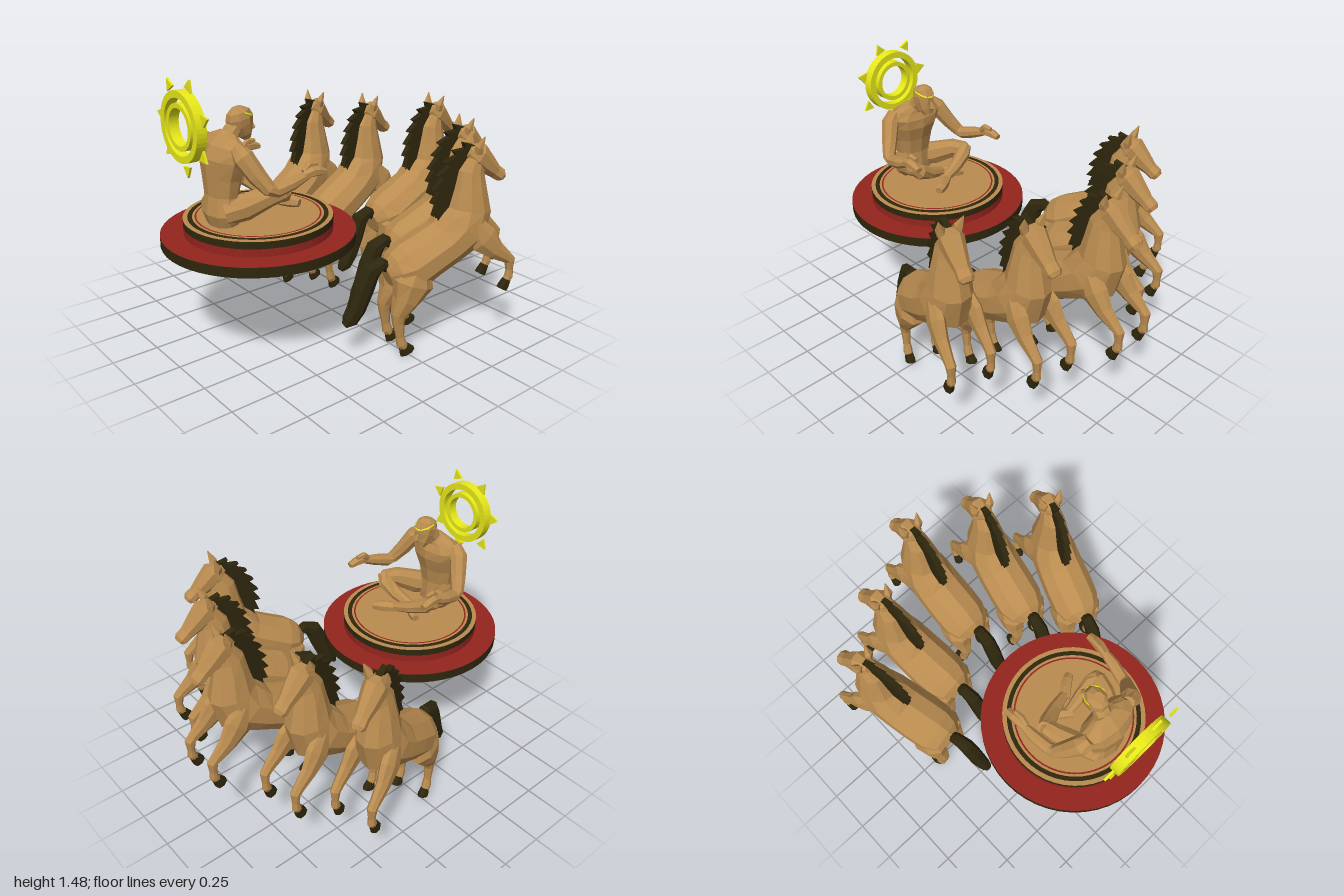
import * as THREE from 'three';

const mat = color => new THREE.MeshStandardMaterial({ color, flatShading: true });
const TAN = mat(0xba8c50), DARK = mat(0x2e260d), RED = mat(0x95241e), GOLD = mat(0xe8e81a);

function add(parent, name, geometry, material) {
  const mesh = new THREE.Mesh(geometry, material);
  mesh.name = name;
  parent.add(mesh);
  return mesh;
}

// Faceted loft through stations [x, y, z, depth radius, width radius]
function loft(stations, sides = 8) {
  const pts = stations.map(s => new THREE.Vector3(s[0], s[1], s[2]));
  const last = pts.length - 1;
  const overall = pts[last].clone().sub(pts[0]).normalize();
  const ref = Math.abs(overall.z) > 0.9 ? new THREE.Vector3(0, 1, 0) : new THREE.Vector3(0, 0, 1);
  const pos = [], idx = [];
  stations.forEach(([, , , d, w], i) => {
    const t = pts[Math.min(i + 1, last)].clone().sub(pts[Math.max(i - 1, 0)]).normalize();
    const side = ref.clone().addScaledVector(t, -ref.dot(t)).normalize();
    const n = t.clone().cross(side);
    for (let j = 0; j < sides; j++) {
      const a = (j + 0.5) / sides * Math.PI * 2;
      const p = pts[i].clone().addScaledVector(side, w * Math.cos(a)).addScaledVector(n, d * Math.sin(a));
      pos.push(p.x, p.y, p.z);
    }
  });
  const c0 = pos.length / 3, c1 = c0 + 1;
  pos.push(...pts[0].toArray(), ...pts[last].toArray());
  for (let j = 0; j < sides; j++) {
    const k = (j + 1) % sides;
    for (let i = 0; i < last; i++) {
      const a = i * sides, b = a + sides;
      idx.push(a + j, a + k, b + k, a + j, b + k, b + j);
    }
    idx.push(c0, k, j, c1, last * sides + j, last * sides + k);
  }
  const g = new THREE.BufferGeometry();
  g.setAttribute('position', new THREE.Float32BufferAttribute(pos, 3));
  g.setIndex(idx);
  g.computeVertexNormals();
  return g;
}

// Saw-toothed crest along the back of the neck
function maneGeometry() {
  const outer = new THREE.CatmullRomCurve3([[0.56, 0.69], [0.53, 0.76], [0.53, 0.84], [0.555, 0.93],
    [0.6, 1.01], [0.66, 1.065], [0.73, 1.085]].map(p => new THREE.Vector3(p[0], p[1], 0)));
  const shape = new THREE.Shape();
  const teeth = 8;
  for (let i = 0; i <= teeth; i++) {
    const p = outer.getPoint(i / teeth), t = outer.getTangent(i / teeth);
    if (i === 0) shape.moveTo(p.x, p.y);
    else shape.lineTo(p.x, p.y);
    if (i < teeth) shape.lineTo(p.x - t.y * 0.034, p.y + t.x * 0.034);
  }
  [[0.75, 1.05], [0.70, 0.95], [0.68, 0.8], [0.63, 0.69]].forEach(p => shape.lineTo(...p));
  return new THREE.ExtrudeGeometry(shape, { depth: 0.034, bevelEnabled: false }).translate(0, 0, -0.017);
}

// Rearing horse facing +x, tail tip at x = 0
function makeHorse() {
  const horse = new THREE.Group();
  add(horse, 'horseBody', loft([
    [0.25, 0.44, 0, 0.06, 0.06], [0.295, 0.455, 0, 0.108, 0.118], [0.37, 0.47, 0, 0.14, 0.145],
    [0.47, 0.525, 0, 0.13, 0.147], [0.58, 0.58, 0, 0.13, 0.142], [0.675, 0.645, 0, 0.155, 0.135],
    [0.715, 0.75, 0, 0.13, 0.11], [0.712, 0.86, 0, 0.1, 0.088], [0.715, 0.95, 0, 0.082, 0.068],
    [0.745, 1.03, 0, 0.05, 0.048]], 10), TAN);
  add(horse, 'horseHead', loft([
    [0.695, 1.06, 0, 0.03, 0.035], [0.75, 1.03, 0, 0.074, 0.064], [0.81, 0.975, 0, 0.058, 0.052],
    [0.865, 0.93, 0, 0.04, 0.04], [0.9, 0.905, 0, 0.038, 0.043], [0.914, 0.892, 0, 0.025, 0.03]]), TAN);
  add(horse, 'mane', maneGeometry(), DARK);
  add(horse, 'tail', loft([
    [0.27, 0.48, 0, 0.03, 0.03], [0.22, 0.51, 0, 0.038, 0.035], [0.16, 0.48, 0, 0.055, 0.04],
    [0.12, 0.39, 0, 0.06, 0.042], [0.08, 0.28, 0, 0.052, 0.042], [0.045, 0.225, 0, 0.045, 0.036],
    [0.015, 0.2, 0, 0.016, 0.022]]), DARK);
  for (const s of [1, -1]) {
    add(horse, 'ear', loft([[0.735, 1.05, s * 0.04, 0.022, 0.024], [0.735, 1.085, s * 0.048, 0.024, 0.025],
      [0.755, 1.14, s * 0.063, 0.003, 0.003]], 5), TAN);
    add(horse, 'hindLeg', loft([
      [0.39, 0.5, s * 0.075, 0.07, 0.055], [0.365, 0.41, s * 0.075, 0.12, 0.078],
      [0.325, 0.32, s * 0.075, 0.075, 0.066], [0.285, 0.24, s * 0.08, 0.045, 0.034],
      [0.285, 0.2, s * 0.081, 0.034, 0.026], [0.295, 0.12, s * 0.083, 0.023, 0.02],
      [0.305, 0.075, s * 0.084, 0.029, 0.025], [0.325, 0.045, s * 0.084, 0.023, 0.021]]), TAN);
    add(horse, 'hindHoof', loft([[0.318, 0.058, s * 0.084, 0.03, 0.022], [0.335, 0.03, s * 0.084, 0.044, 0.027],
      [0.34, 0.018, s * 0.084, 0.044, 0.027]], 7), DARK);
    add(horse, 'frontLeg', loft([
      [0.7, 0.68, s * 0.085, 0.06, 0.035], [0.76, 0.6, s * 0.098, 0.085, 0.042], [0.83, 0.53, s * 0.104, 0.055, 0.034],
      [0.9, 0.48, s * 0.106, 0.036, 0.027], [0.93, 0.455, s * 0.106, 0.031, 0.026],
      [0.932, 0.4, s * 0.106, 0.02, 0.019], [0.93, 0.36, s * 0.106, 0.026, 0.022],
      [0.912, 0.332, s * 0.106, 0.022, 0.019]]), TAN);
    add(horse, 'frontHoof', loft([[0.92, 0.343, s * 0.106, 0.026, 0.021], [0.9, 0.305, s * 0.106, 0.034, 0.025],
      [0.893, 0.292, s * 0.106, 0.034, 0.025]], 7), DARK);
  }
  return horse;
}

// Stepped round dais with inlaid rings
function makePlatform() {
  const g = new THREE.Group();
  g.name = 'platform';
  const disc = (name, r, y0, y1, m) =>
    add(g, name, new THREE.CylinderGeometry(r, r, y1 - y0, 48), m).position.y = (y0 + y1) / 2;
  const inlay = (name, r0, r1, y, m) =>
    add(g, name, new THREE.RingGeometry(r0, r1, 48).rotateX(-Math.PI / 2), m).position.y = y;
  disc('baseDisc', 0.51, 0.591, 0.643, DARK);
  inlay('baseTop', 0.38, 0.51, 0.645, RED);
  disc('stepLower', 0.39, 0.643, 0.686, RED);
  disc('stepUpper', 0.39, 0.686, 0.722, DARK);
  add(g, 'floor', new THREE.CircleGeometry(0.39, 48).rotateX(-Math.PI / 2), TAN).position.y = 0.724;
  inlay('darkInlay', 0.342, 0.366, 0.726, DARK);
  inlay('redInlay', 0.32, 0.329, 0.726, RED);
  g.position.x = -0.49;
  return g;
}

// Two concentric rings with seven detached rays
function makeHalo() {
  const g = new THREE.Group();
  g.name = 'sunHalo';
  for (const [r0, r1] of [[0.14, 0.175], [0.092, 0.116]]) {
    const s = new THREE.Shape().absarc(0, 0, r1, 0, Math.PI * 2);
    s.holes.push(new THREE.Path().absarc(0, 0, r0, 0, Math.PI * 2, true));
    add(g, 'haloRing', new THREE.ExtrudeGeometry(s, { depth: 0.054, bevelEnabled: false, curveSegments: 24 })
      .translate(0, 0, -0.027), GOLD);
  }
  const tri = new THREE.Shape([[-0.032, 0.195], [0.032, 0.195], [0, 0.25]].map(p => new THREE.Vector2(...p)));
  const ray = new THREE.ExtrudeGeometry(tri, { depth: 0.012, bevelEnabled: false }).translate(0, 0, -0.006);
  for (let i = 0; i < 7; i++) add(g, 'haloRay', ray, GOLD).rotation.z = -0.35 - i * Math.PI * 2 / 7;
  // Stood across the dais, its +x becoming +z
  g.rotation.y = -Math.PI / 2;
  g.position.set(-0.888, 1.25, -0.012);
  return g;
}

// Cross-legged driver facing +x with both hands held forward
function makeDriver() {
  const g = new THREE.Group();
  g.name = 'driver';
  add(g, 'torso', loft([
    [-0.7, 0.735, 0, 0.075, 0.11], [-0.71, 0.79, 0, 0.085, 0.13], [-0.705, 0.88, 0, 0.075, 0.112],
    [-0.7, 0.97, 0, 0.085, 0.13], [-0.69, 1.06, 0, 0.1, 0.165], [-0.675, 1.12, 0, 0.085, 0.182],
    [-0.66, 1.16, 0, 0.055, 0.13], [-0.645, 1.18, 0, 0.04, 0.065]], 10), TAN);
  add(g, 'neck', loft([[-0.68, 1.12, 0, 0.05, 0.055], [-0.63, 1.19, 0, 0.045, 0.045],
    [-0.59, 1.23, 0, 0.04, 0.04]]), TAN);
  add(g, 'head', loft([
    [-0.545, 1.143, 0, 0.024, 0.026], [-0.557, 1.17, 0, 0.044, 0.042], [-0.577, 1.215, 0, 0.068, 0.054],
    [-0.585, 1.25, 0, 0.073, 0.058], [-0.592, 1.283, 0, 0.06, 0.05], [-0.597, 1.302, 0, 0.03, 0.028]]), TAN);
  add(g, 'nose', loft([[-0.518, 1.225, 0, 0.008, 0.008], [-0.508, 1.19, 0, 0.016, 0.014],
    [-0.518, 1.183, 0, 0.008, 0.009]], 5), TAN);
  // Gold band across the brow, lowest in front
  const band = add(g, 'headband', new THREE.TorusGeometry(1, 0.08, 4, 12, Math.PI)
    .rotateX(Math.PI / 2).rotateY(Math.PI / 2), GOLD);
  band.scale.set(0.075, 0.09, 0.053);
  band.position.set(-0.588, 1.28, 0);
  band.rotation.z = -0.35;
  for (const s of [1, -1]) {
    add(g, 'arm', loft([
      [-0.69, 1.135, s * 0.13, 0.035, 0.045], [-0.68, 1.1, s * 0.175, 0.055, 0.048],
      [-0.635, 1.01, s * 0.222, 0.048, 0.042], [-0.592, 0.945, s * 0.262, 0.038, 0.036],
      [-0.555, 0.935, s * 0.27, 0.036, 0.034], [-0.47, 0.96, s * 0.285, 0.034, 0.032],
      [-0.39, 0.985, s * 0.292, 0.022, 0.022]]), TAN);
    add(g, 'hand', loft([[-0.41, 0.985, s * 0.292, 0.022, 0.022], [-0.36, 0.997, s * 0.293, 0.028, 0.03],
      [-0.325, 0.995, s * 0.296, 0.026, 0.028], [-0.28, 0.985, s * 0.298, 0.016, 0.022]], 6), TAN);
    add(g, 'thumb', loft([[-0.4, 1.0, s * 0.28, 0.018, 0.016], [-0.365, 1.03, s * 0.278, 0.02, 0.018],
      [-0.32, 1.028, s * 0.28, 0.012, 0.014]], 6), TAN);
    add(g, 'thigh', loft([
      [-0.73, 0.8, s * 0.07, 0.065, 0.06], [-0.64, 0.825, s * 0.115, 0.07, 0.06],
      [-0.53, 0.875, s * 0.17, 0.055, 0.052], [-0.46, 0.887, s * 0.195, 0.042, 0.042],
      [-0.435, 0.88, s * 0.2, 0.02, 0.025]]), TAN);
    // The right ankle crosses in front, the left is tucked behind it
    const ax = s < 0 ? -0.385 : -0.47;
    add(g, 'shin', loft([
      [-0.46, 0.905, s * 0.205, 0.035, 0.035], [-0.445, 0.865, s * 0.165, 0.046, 0.044],
      [(ax - 0.44) / 2, 0.825, s * 0.08, 0.038, 0.036], [ax, 0.79, -s * 0.03, 0.025, 0.025]]), TAN);
    add(g, 'foot', loft([[ax - 0.015, 0.79, -s * 0.01, 0.026, 0.034], [ax + 0.02, 0.785, -s * 0.055, 0.034, 0.034],
      [ax + 0.05, 0.782, -s * 0.1, 0.032, 0.03], [ax + 0.065, 0.778, -s * 0.13, 0.022, 0.022]], 6), TAN);
  }
  return g;
}

export function createModel() {
  const model = new THREE.Group();
  model.add(makePlatform(), makeHalo(), makeDriver());
  // Team of five fanned out ahead of the dais: [x, y, z, yaw]
  const team = [[0.05, 0.04, 0, 0], [-0.092, 0, 0.272, -0.145], [-0.135, 0, -0.272, 0.145],
    [-0.312, 0, 0.468, -0.28], [-0.312, 0, -0.468, 0.28]];
  for (const [x, y, z, yaw] of team) {
    const horse = makeHorse();
    horse.name = 'horse';
    horse.position.set(x, y, z);
    horse.rotation.y = yaw;
    model.add(horse);
  }
  return model;
}
